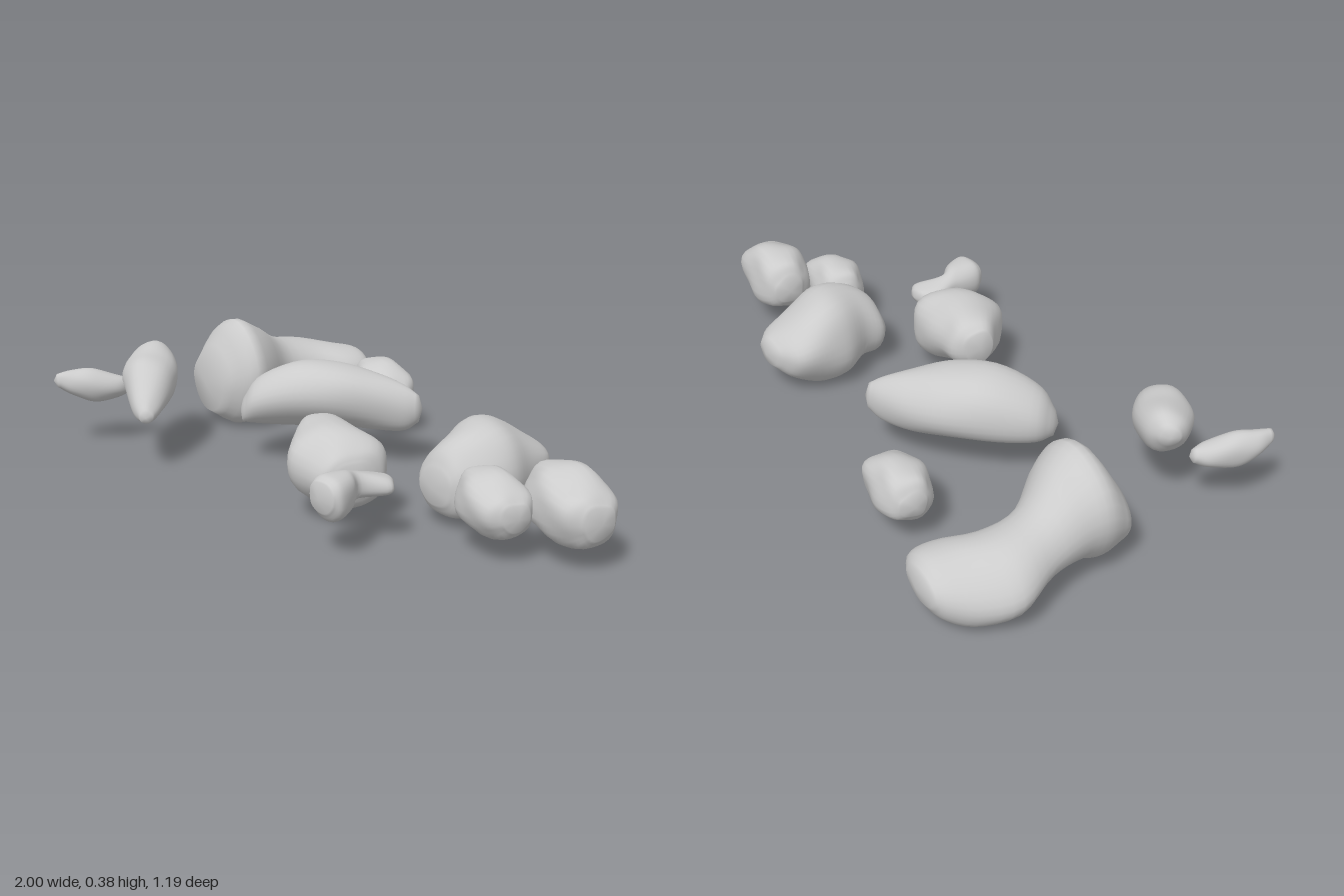
import * as THREE from 'three';

const RINGS = 26, SIDES = 28;
const material = new THREE.MeshStandardMaterial({ color: 0xcccccc, roughness: 1 });

// Lofts a closed stone through sections [x, z, y, halfWidth, halfHeight, tilt].
// bump sets how lumpy it is, seed shifts the lumps, boxy squares the section,
// and tilt leans a section up towards its across side.
function stone(name, sections, { bump = 0.05, seed = 0, boxy = 2.3 } = {}) {
  const centres = new THREE.CatmullRomCurve3(
    sections.map(([x, z, y]) => new THREE.Vector3(x, y, z)), false, 'catmullrom');
  const sizes = new THREE.CatmullRomCurve3(
    sections.map(([, , , w, h, tilt = 0]) => new THREE.Vector3(w, h, tilt)), false, 'catmullrom');
  const first = centres.getPoint(0), last = centres.getPoint(1);
  const along = last.clone().sub(first).setY(0).normalize();
  const across = new THREE.Vector3(along.z, 0, -along.x);
  const pos = [], index = [];
  const squash = (v) => Math.sign(v) * Math.abs(v) ** (2 / boxy);

  for (let i = 0; i <= RINGS; i++) {
    const t = i / RINGS;
    const c = centres.getPoint(t), s = sizes.getPoint(t);
    for (let j = 0; j < SIDES; j++) {
      const a = (j / SIDES) * Math.PI * 2;
      const lump = 1 + bump * (Math.sin(3 * a + 5 * t + seed)
        + 0.7 * Math.sin(5 * a - 9 * t + seed * 2.3)
        + 0.6 * Math.cos(2 * a + 14 * t + seed * 1.7)) * 0.7;
      const side = squash(Math.cos(a)) * s.x * lump;
      const p = c.clone().addScaledVector(across, side);
      p.y += squash(Math.sin(a)) * s.y * lump + side * s.z;
      pos.push(p.x, p.y, p.z);
    }
  }
  for (let i = 0; i < RINGS; i++) {
    for (let j = 0; j < SIDES; j++) {
      const k = (j + 1) % SIDES;
      const a = i * SIDES + j, b = i * SIDES + k;
      index.push(a, b, a + SIDES, b, b + SIDES, a + SIDES);
    }
  }
  // rounded end caps
  const start = pos.length / 3, end = start + 1, top = RINGS * SIDES;
  first.addScaledVector(along, -0.012);
  last.addScaledVector(along, 0.012);
  pos.push(...first.toArray(), ...last.toArray());
  for (let j = 0; j < SIDES; j++) {
    const k = (j + 1) % SIDES;
    index.push(start, k, j, end, top + j, top + k);
  }
  const geometry = new THREE.BufferGeometry();
  geometry.setAttribute('position', new THREE.Float32BufferAttribute(pos, 3));
  geometry.setIndex(index);
  geometry.computeVertexNormals();
  const mesh = new THREE.Mesh(geometry, material);
  mesh.name = name;
  return mesh;
}

// Compact lumpy stone, long axis on x, centred at (x, y, z) with half sizes.
function pebble(name, x, y, z, hx, hy, hz, seed) {
  const shape = [[-0.95, -0.32, 0.05, 0.4, 0.4], [-0.75, -0.25, 0.06, 0.7, 0.74],
    [-0.3, -0.1, 0.05, 0.86, 0.93], [0.2, 0.06, -0.03, 0.9, 0.92],
    [0.7, 0.2, -0.1, 0.75, 0.73], [0.95, 0.25, -0.1, 0.45, 0.4]];
  return stone(name, shape.map(([u, v, w, a, b]) =>
    [x + u * hx, z + v * hz, y + w * hy, a * hz, b * hy]), { bump: 0.07, seed });
}

export function createModel() {
  const group = new THREE.Group();
  group.name = 'scatteredStones';
  group.add(
    // big stone with a narrow waist
    stone('largeWaistedStone', [
      [-0.77, -0.585, 0.135, 0.07, 0.045, 0.12], [-0.77, -0.55, 0.125, 0.115, 0.08, 0.12],
      [-0.80, -0.48, 0.118, 0.14, 0.105, 0.12], [-0.86, -0.38, 0.14, 0.137, 0.108, 0.1],
      [-0.85, -0.25, 0.17, 0.115, 0.105], [-0.81, -0.12, 0.2, 0.152, 0.152],
      [-0.805, -0.03, 0.198, 0.17, 0.185], [-0.85, 0.045, 0.16, 0.105, 0.1],
    ], { bump: 0.02, seed: 1, boxy: 1.9 }),
    // its small counterpart
    stone('smallWaistedStone', [
      [0.395, 0.32, 0.185, 0.03, 0.022], [0.388, 0.355, 0.185, 0.062, 0.032],
      [0.37, 0.43, 0.195, 0.036, 0.041], [0.385, 0.48, 0.192, 0.052, 0.06],
      [0.395, 0.54, 0.188, 0.065, 0.068], [0.395, 0.57, 0.195, 0.05, 0.045],
    ], { bump: 0.03, seed: 2, boxy: 2.3 }),
    // long tapered stones
    stone('largeTaperedStone', [
      [-0.46, 0.185, 0.18, 0.04, 0.04], [-0.425, 0.145, 0.212, 0.088, 0.08, -0.08],
      [-0.33, 0.055, 0.24, 0.122, 0.108, -0.12], [-0.23, -0.035, 0.24, 0.12, 0.108, -0.12],
      [-0.135, -0.115, 0.22, 0.088, 0.095, -0.08], [-0.06, -0.168, 0.205, 0.052, 0.075],
      [-0.02, -0.195, 0.205, 0.024, 0.045],
    ], { bump: 0.025, seed: 3, boxy: 2 }),
    stone('mediumTaperedStone', [
      [-0.855, 0.27, 0.31, 0.03, 0.03], [-0.81, 0.3, 0.292, 0.07, 0.072],
      [-0.74, 0.36, 0.268, 0.09, 0.086], [-0.67, 0.415, 0.252, 0.078, 0.084],
      [-0.6, 0.475, 0.215, 0.048, 0.05], [-0.56, 0.505, 0.195, 0.022, 0.022],
    ], { bump: 0.03, seed: 4, boxy: 2 }),
    stone('smallTaperedStone', [
      [-0.87, 0.36, 0.21, 0.018, 0.022], [-0.89, 0.4, 0.21, 0.038, 0.04],
      [-0.925, 0.47, 0.218, 0.046, 0.057], [-0.955, 0.53, 0.23, 0.037, 0.044],
      [-0.972, 0.58, 0.245, 0.018, 0.022],
    ], { bump: 0.03, seed: 5, boxy: 2 }),
    // tall block
    stone('uprightBlockStone', [
      [0.45, -0.255, 0.15, 0.055, 0.04], [0.43, -0.21, 0.15, 0.11, 0.08],
      [0.425, -0.12, 0.155, 0.138, 0.13], [0.438, -0.03, 0.16, 0.152, 0.15],
      [0.45, 0.06, 0.16, 0.122, 0.13], [0.43, 0.13, 0.142, 0.1, 0.1],
      [0.425, 0.16, 0.135, 0.065, 0.055],
    ], { bump: 0.04, seed: 6, boxy: 2.1 }),
    // broad block
    stone('broadBlockStone', [
      [-0.025, 0.25, 0.21, 0.045, 0.055], [0.01, 0.255, 0.208, 0.08, 0.08],
      [0.07, 0.29, 0.2, 0.11, 0.098], [0.15, 0.32, 0.185, 0.138, 0.116],
      [0.23, 0.325, 0.173, 0.13, 0.112], [0.28, 0.345, 0.17, 0.1, 0.085],
      [0.297, 0.355, 0.17, 0.06, 0.05],
    ], { bump: 0.045, seed: 7.5, boxy: 2.2 }),
    // lumpy pebbles
    pebble('backPebble', -0.395, 0.165, -0.37, 0.125, 0.095, 0.1, 8),
    pebble('frontPebble', 0.685, 0.165, 0.18, 0.125, 0.095, 0.1, 8),
    pebble('sidePebble', 0.85, 0.172, 0.045, 0.15, 0.115, 0.115, 8.4),
  );
  return group;
}
